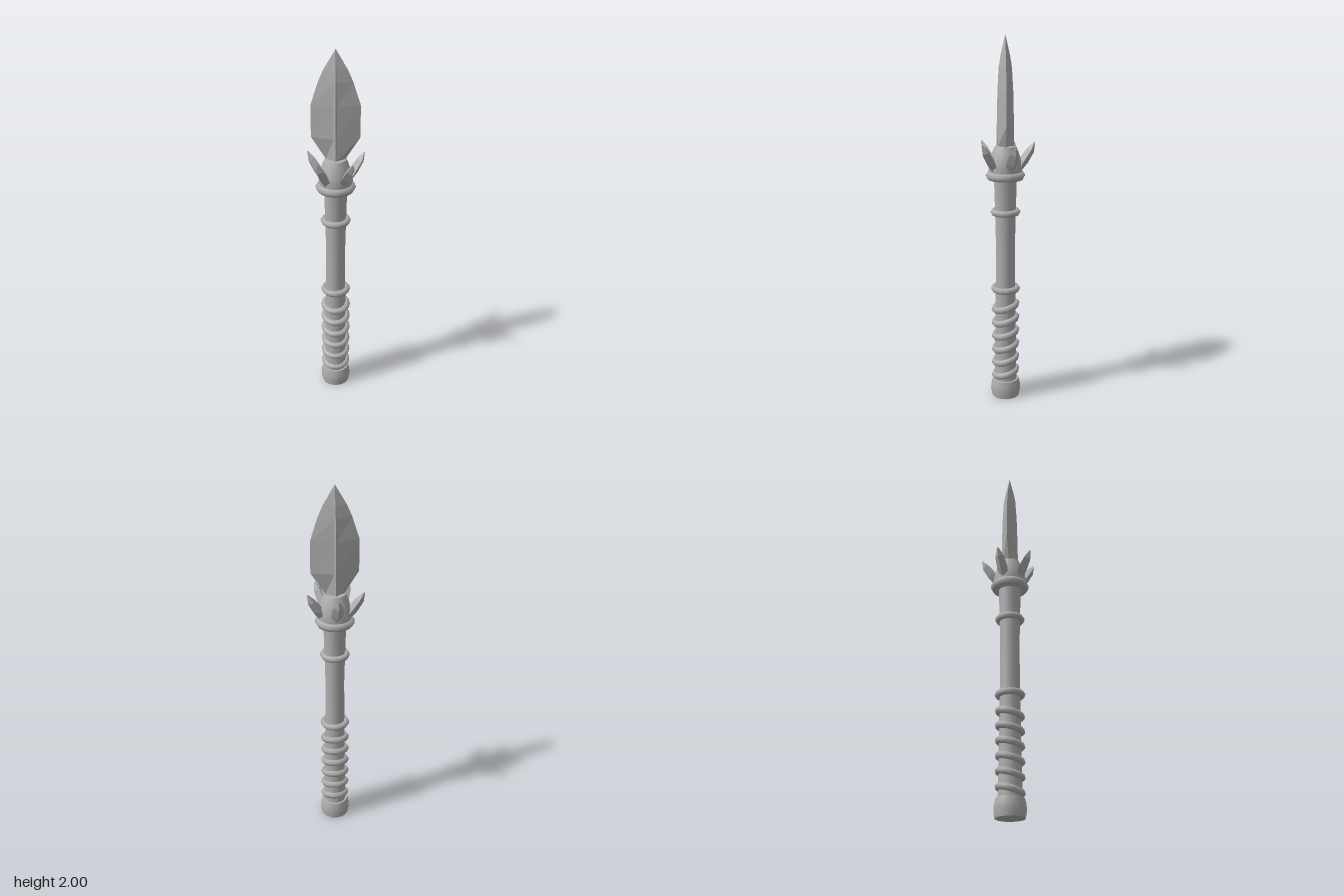
import * as THREE from 'three';
import { toCreasedNormals } from 'three/addons/utils/BufferGeometryUtils.js';

const stone = new THREE.MeshStandardMaterial({ color: 0xaeaeae });
stone.name = 'stone grey';

// Turned part from [radius, height] pairs, bottom to top
function turned(profile, segments = 16) {
  const points = profile.map(([r, y]) => new THREE.Vector2(r, y));
  return toCreasedNormals(new THREE.LatheGeometry(points, segments), 0.75);
}

// Faceted solid through horizontal sections: [height, half width, half depth, z shift]
// unit is the section outline as [x, z], counter-clockwise from above
function faceted(unit, sections) {
  const n = unit.length;
  const pos = [];
  const at = (s, i) => {
    const [y, w, d, shift = 0] = sections[s];
    const [x, z] = unit[i % n];
    return [x * w, y, z * d + shift];
  };
  for (let s = 0; s < sections.length - 1; s++) {
    for (let i = 0; i < n; i++) {
      pos.push(...at(s, i), ...at(s, i + 1), ...at(s + 1, i + 1));
      pos.push(...at(s, i), ...at(s + 1, i + 1), ...at(s + 1, i));
    }
  }
  // end caps
  const last = sections.length - 1;
  for (let i = 0; i < n; i++) {
    pos.push(0, sections[0][0], 0, ...at(0, i + 1), ...at(0, i));
    pos.push(0, sections[last][0], 0, ...at(last, i), ...at(last, i + 1));
  }
  const geometry = new THREE.BufferGeometry();
  geometry.setAttribute('position', new THREE.Float32BufferAttribute(pos, 3));
  geometry.computeVertexNormals();
  return geometry;
}

export function createModel() {
  const model = new THREE.Group();
  model.name = 'spear';

  const add = (name, geometry, y = 0) => {
    const mesh = new THREE.Mesh(geometry, stone);
    mesh.name = name;
    mesh.position.set(0, y, 0.004);
    model.add(mesh);
    return mesh;
  };

  // Horizontal ring, optionally leaning forward
  const ring = (name, y, outer, tube, tilt = 0) => {
    const geometry = new THREE.TorusGeometry(outer - tube, tube, 6, 16).rotateX(Math.PI / 2);
    add(name, geometry, y).rotation.x = tilt;
  };

  // Handle
  add('pommel', turned([[0, 0], [0.077, 0], [0.083, 0.035], [0.081, 0.07], [0.073, 0.1], [0, 0.102]]));
  add('shaft', turned([[0.062, 0.09], [0.058, 0.35], [0.054, 0.65], [0.052, 0.9], [0.056, 1.08], [0.061, 1.26]]));

  // Grip binding: six tilted rings between the pommel and the lower band
  for (let i = 0; i < 6; i++) ring('gripRing', 0.14 + i * 0.079, 0.081, 0.019, 0.28);
  ring('lowerBand', 0.64, 0.081, 0.018);
  ring('upperBand', 1.075, 0.081, 0.018);

  // Head socket
  ring('collar', 1.275, 0.106, 0.024);
  add('socket', turned([[0.058, 1.25], [0.085, 1.27], [0.09, 1.31], [0.084, 1.355], [0.068, 1.405], [0.056, 1.43], [0, 1.437]]));

  // Crown of five crystal thorns leaning outwards
  const diamond = [[1, 0], [0, -1], [-1, 0], [0, 1]];
  const thornGeometry = faceted(diamond, [
    [0, 0.024, 0.018],
    [0.06, 0.031, 0.026],
    [0.125, 0.025, 0.021, 0.003],
    [0.172, 0.003, 0.003],
  ]);
  for (let i = 0; i < 5; i++) {
    const angle = Math.PI + (i * Math.PI * 2) / 5;
    const thorn = add('thorn', thornGeometry, 1.303);
    thorn.position.x += Math.sin(angle) * 0.066;
    thorn.position.z += Math.cos(angle) * 0.066;
    thorn.rotation.set(0.54, angle, 0, 'YXZ');
  }

  // Leaf blade with a narrow raised midrib on both faces
  const ribbed = [[1, 0], [0.07, -0.83], [0, -1], [-0.07, -0.83], [-1, 0], [-0.07, 0.83], [0, 1], [0.07, 0.83]];
  add('blade', faceted(ribbed, [
    [1.4, 0.035, 0.047],
    [1.43, 0.05, 0.047],
    [1.55, 0.125, 0.045],
    [1.72, 0.125, 0.041],
    [1.84, 0.086, 0.034],
    [1.9, 0.06, 0.024],
    [2, 0.001, 0.001],
  ]));

  return model;
}
